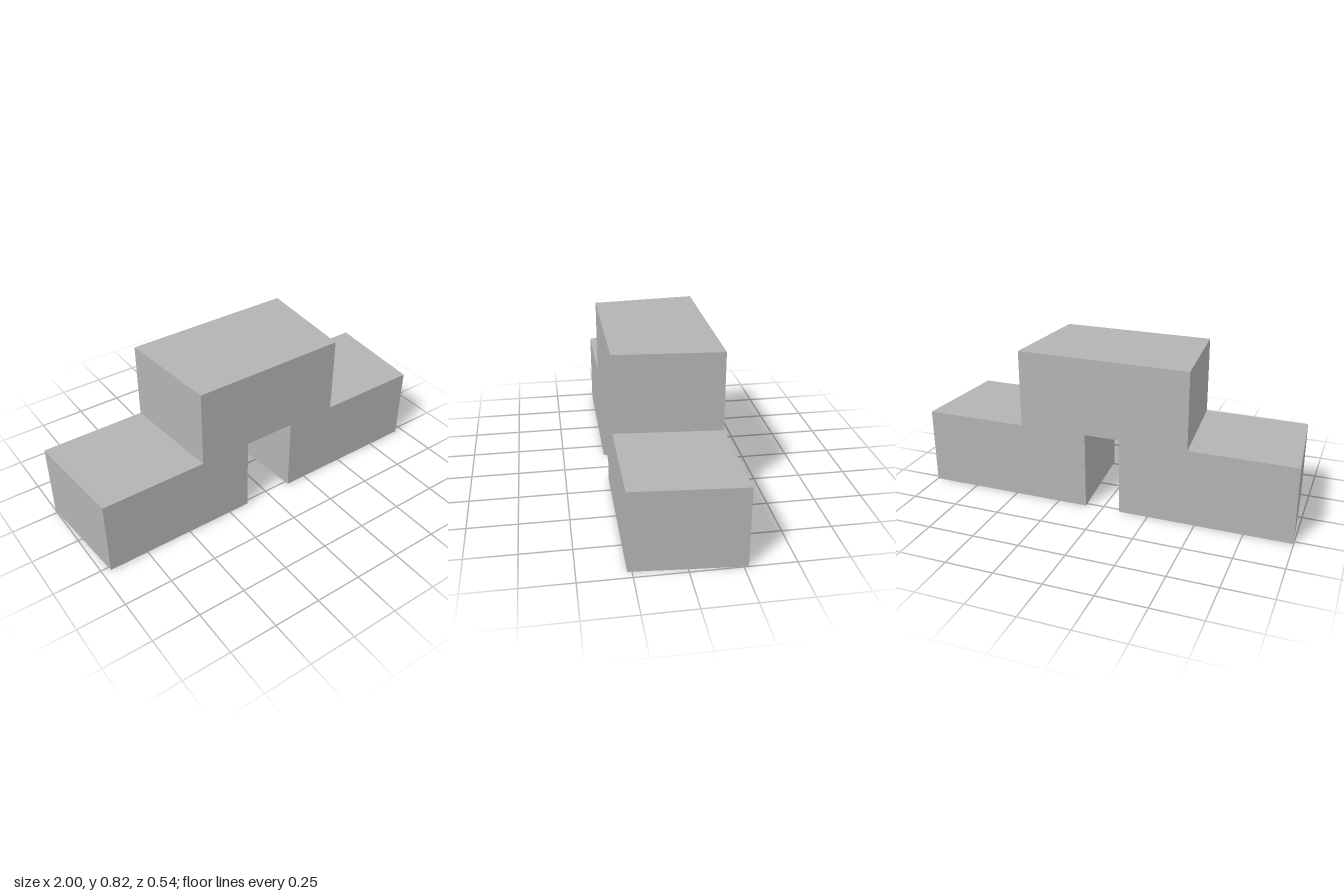
import * as THREE from 'three';

export function createModel() {
  const group = new THREE.Group();
  const grey = new THREE.MeshStandardMaterial({ color: 0xb3b3b3 });
  grey.name = 'grey';

  const depth = 0.544, step = 0.409, top = 0.818, taper = 0.044;
  const inner = 0.093, shoulder = 0.451;

  // Stepped outline at the back face: two feet, a gap and a raised middle
  const half = [[inner, step], [inner, 0], [1, 0], [1, step], [shoulder, step], [shoulder, top]];
  const mirrored = half.map(([x, y]) => [-x, y]).reverse();
  const outline = new THREE.Shape([...half, ...mirrored].map(([x, y]) => new THREE.Vector2(x, y)));

  const geometry = new THREE.ExtrudeGeometry(outline, { depth, bevelEnabled: false });
  geometry.translate(0, 0, -depth / 2);

  // Each block narrows toward the front: outer walls move in, gap walls move out
  const pos = geometry.attributes.position;
  for (let i = 0; i < pos.count; i++) {
    if (pos.getZ(i) < 0) continue;
    const x = pos.getX(i);
    const shift = Math.abs(x) < 0.2 ? taper : -taper;
    pos.setX(i, x + Math.sign(x) * shift);
  }
  geometry.computeVertexNormals();

  const body = new THREE.Mesh(geometry, grey);
  body.name = 'steppedArchBlock';
  group.add(body);
  return group;
}
